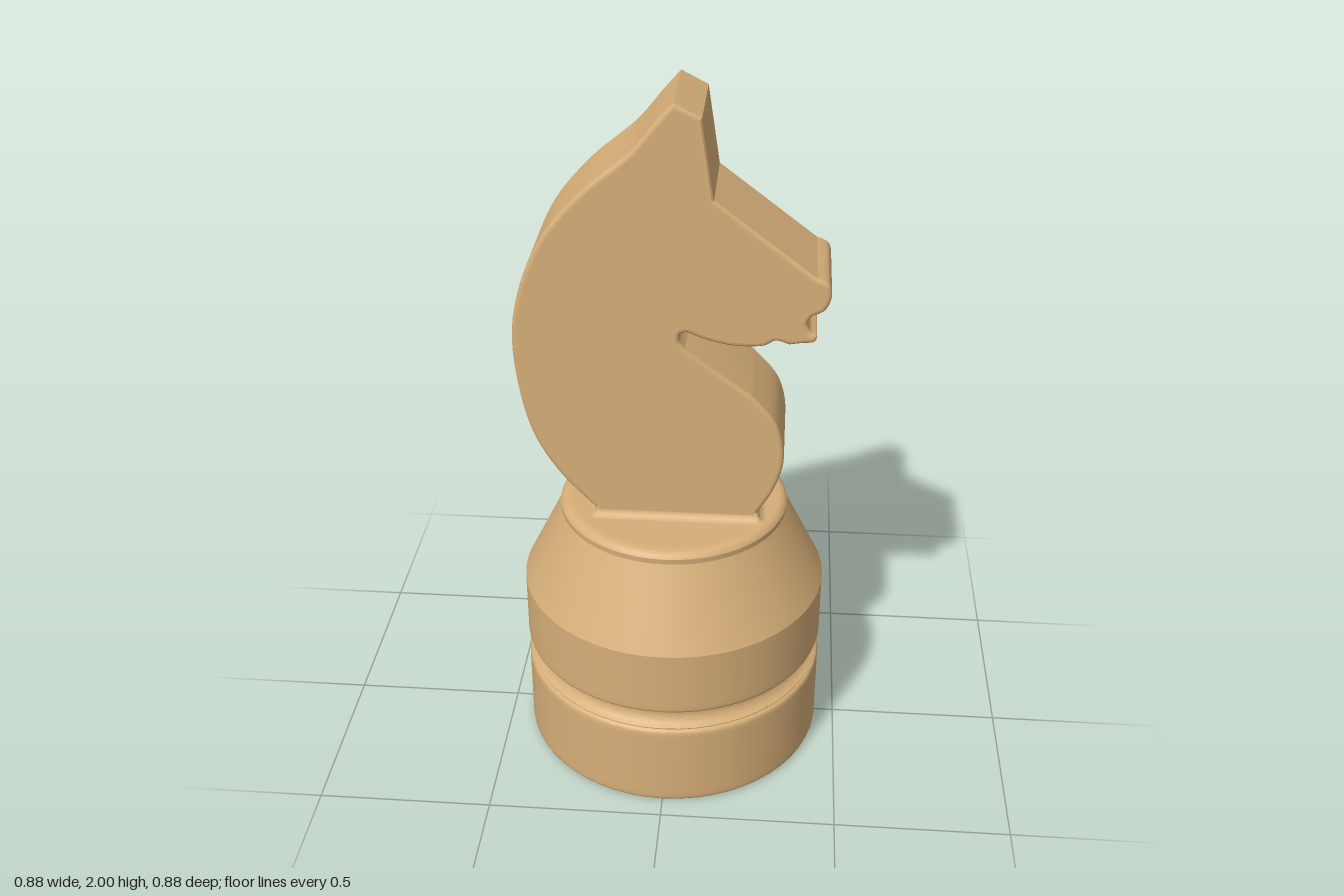
import * as THREE from 'three';
import { toCreasedNormals } from 'three/addons/utils/BufferGeometryUtils.js';

const HALF = 0.145; // half thickness of the horse slab
const v2 = ([x, y]) => new THREE.Vector2(x, y);

// Points of an arc in a profile, angles in degrees
function arc(cx, cy, r, from, to, steps) {
  return Array.from({ length: steps + 1 }, (_, i) => {
    const a = THREE.MathUtils.degToRad(from + ((to - from) * i) / steps);
    return [cx + r * Math.cos(a), cy + r * Math.sin(a)];
  });
}

// Turned base: drum, rounded groove, upper drum and tapered shoulder
function baseGeometry() {
  const profile = [
    [0, 0], [0.42, 0],
    ...arc(0.427, 0.015, 0.015, -90, 0, 6),
    [0.442, 0.03], [0.442, 0.235],
    ...arc(0.427, 0.25, 0.015, 0, 70, 5),
    ...arc(0.446, 0.303, 0.038, 250, 110, 12),
    ...arc(0.427, 0.342, 0.015, -40, 0, 3),
    [0.442, 0.36], [0.442, 0.53],
    [0.328, 0.762],
    ...arc(0.302, 0.765, 0.03, 26, 90, 6),
    [0.29, 0.795], [0, 0.795],
  ];
  return toCreasedNormals(new THREE.LatheGeometry(profile.map(v2), 56), 0.3);
}

// Horse outline, extruded with a small rounded edge
function horseGeometry() {
  const s = new THREE.Shape();
  const spline = (...pts) => s.splineThru(pts.map(v2));
  s.moveTo(-0.205, 0.78);
  s.lineTo(0.245, 0.78);
  s.lineTo(0.245, 0.82);
  // Chest
  spline([0.29, 0.9], [0.314, 1.0], [0.29, 1.11], [0.22, 1.195]);
  s.lineTo(0.04, 1.328);
  // Throat notch and jaw
  spline([0.025, 1.35], [0.028, 1.372], [0.045, 1.378]);
  spline([0.1, 1.357], [0.17, 1.343], [0.245, 1.345], [0.28, 1.362], [0.315, 1.352]);
  // Lower lip, mouth and nose
  spline([0.345, 1.357], [0.38, 1.362], [0.387, 1.38], [0.37, 1.392], [0.361, 1.415], [0.372, 1.437]);
  spline([0.405, 1.455], [0.42, 1.492], [0.412, 1.53], [0.38, 1.546]);
  // Brow and ear
  s.lineTo(0.112, 1.75);
  s.lineTo(0.08, 1.963);
  s.lineTo(0.008, 2.0);
  // Mane and back
  spline([-0.04, 1.945], [-0.11, 1.862], [-0.235, 1.755], [-0.34, 1.625], [-0.405, 1.465],
    [-0.424, 1.3], [-0.39, 1.085], [-0.315, 0.935], [-0.205, 0.81]);
  s.closePath();
  const bevel = 0.012;
  const geo = new THREE.ExtrudeGeometry(s, {
    depth: 2 * (HALF - bevel), curveSegments: 6,
    bevelSize: bevel, bevelThickness: bevel, bevelOffset: -bevel, bevelSegments: 3,
  });
  geo.translate(0, 0, -(HALF - bevel));
  return toCreasedNormals(geo, 0.25);
}

// Concave fillet round the foot of the neck: a rounded rectangle that flares downwards
function filletGeometry() {
  const size = 0.028, rings = 6, cornerSteps = 6;
  const corners = [[0.245, HALF - 0.003], [-0.205, HALF - 0.003], [-0.205, 0.003 - HALF], [0.245, 0.003 - HALF]];
  const count = corners.length * (cornerSteps + 1);
  const positions = [], index = [];
  for (let r = 0; r <= rings; r++) {
    const t = (r / rings) * Math.PI / 2;
    const offset = 0.002 + size * (1 - Math.sin(t));
    const y = 0.794 + size * (1 - Math.cos(t));
    corners.forEach(([cx, cz], c) => {
      for (let i = 0; i <= cornerSteps; i++) {
        const a = (c + i / cornerSteps) * Math.PI / 2;
        positions.push(cx + offset * Math.cos(a), y, cz + offset * Math.sin(a));
      }
    });
  }
  for (let r = 0; r < rings; r++) {
    for (let i = 0; i < count; i++) {
      const a = r * count + i, b = r * count + ((i + 1) % count);
      index.push(a, a + count, b, b, a + count, b + count);
    }
  }
  const geo = new THREE.BufferGeometry();
  geo.setAttribute('position', new THREE.Float32BufferAttribute(positions, 3));
  geo.setIndex(index);
  geo.computeVertexNormals();
  return geo;
}

export function createModel() {
  const wood = new THREE.MeshStandardMaterial({ color: 0xd6ae78 });
  wood.name = 'tan wood';
  const model = new THREE.Group();
  model.name = 'chessKnight';
  const parts = { base: baseGeometry(), horseHead: horseGeometry(), neckFillet: filletGeometry() };
  for (const [name, geometry] of Object.entries(parts)) {
    const mesh = new THREE.Mesh(geometry, wood);
    mesh.name = name;
    model.add(mesh);
  }
  return model;
}
